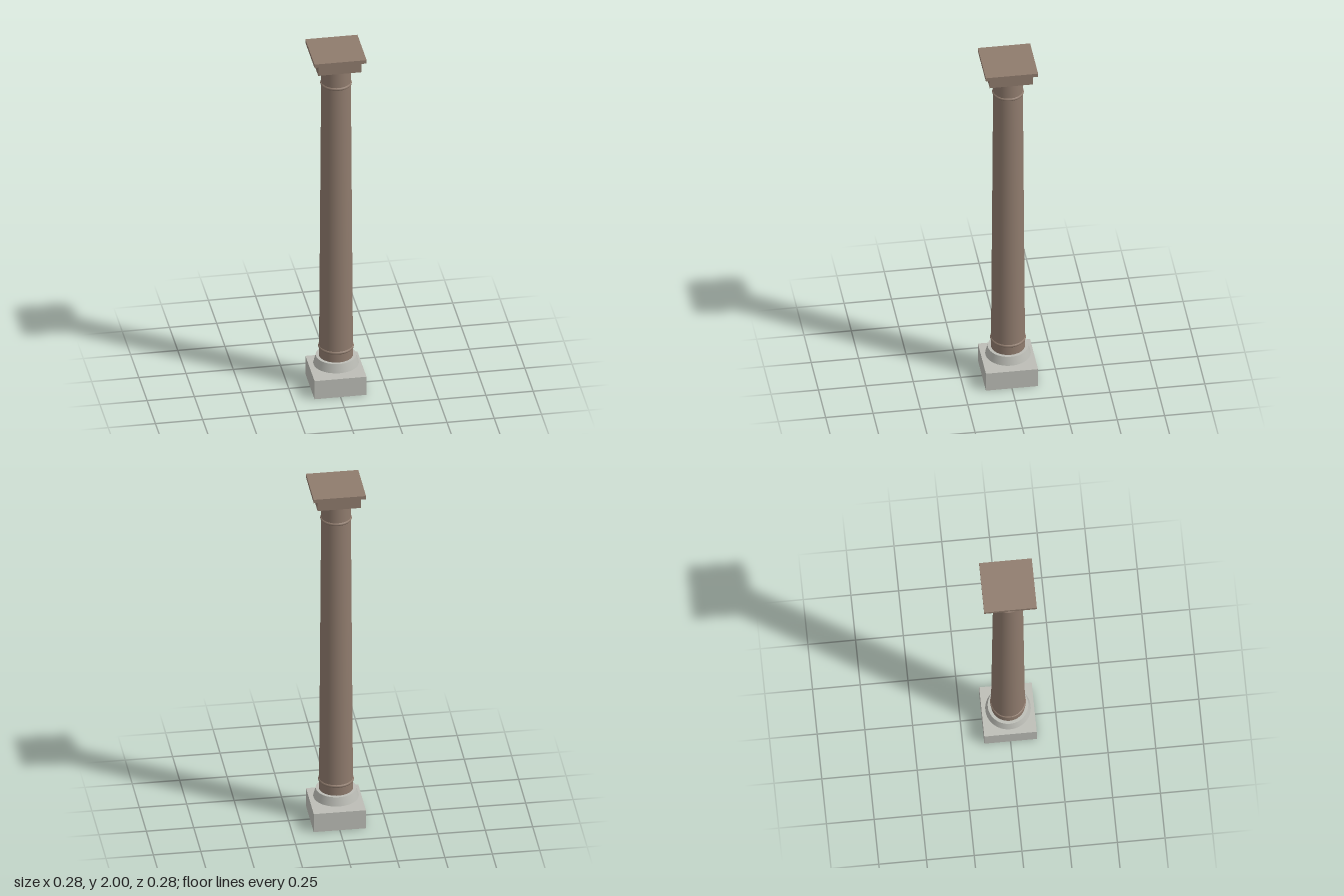
import * as THREE from 'three';

export function createModel() {
  const column = new THREE.Group();
  column.name = 'column';

  const brownStone = new THREE.MeshStandardMaterial({ color: 0x8f7b6d });
  brownStone.name = 'brown stone';
  const greyStone = new THREE.MeshStandardMaterial({ color: 0xbcbdb6 });
  greyStone.name = 'grey stone';

  const add = (name, geometry, material, y) => {
    const mesh = new THREE.Mesh(geometry, material);
    mesh.name = name;
    mesh.position.y = y;
    column.add(mesh);
    return mesh;
  };

  // Square slab spanning two heights
  const slab = (name, width, bottom, top, material) =>
    add(name, new THREE.BoxGeometry(width, top - bottom, width), material, (bottom + top) / 2);

  // Round drum spanning two heights
  const drum = (name, rTop, rBottom, bottom, top, material) =>
    add(name, new THREE.CylinderGeometry(rTop, rBottom, top - bottom, 48), material, (bottom + top) / 2);

  // Base: plinth with a flared collar held slightly above it
  slab('plinth', 0.275, 0, 0.108, greyStone);
  drum('baseCollar', 0.106, 0.119, 0.132, 0.18, greyStone);

  // Tapered shaft
  const bottom = 0.18, top = 1.917, rBottom = 0.089, rTop = 0.077;
  drum('shaft', rTop, rBottom, bottom, top, brownStone);

  // Slim bead mouldings near the ends of the shaft
  for (const [name, y] of [['lowerBead', 0.235], ['upperBead', 1.805]]) {
    const r = THREE.MathUtils.mapLinear(y, bottom, top, rBottom, rTop);
    const bead = add(name, new THREE.TorusGeometry(r - 0.004, 0.009, 12, 48), brownStone, y);
    bead.rotation.x = Math.PI / 2;
  }

  // Square capital
  slab('capitalBlock', 0.228, 1.917, 1.98, brownStone);
  slab('capitalPlate', 0.276, 1.98, 2, brownStone);

  return column;
}
